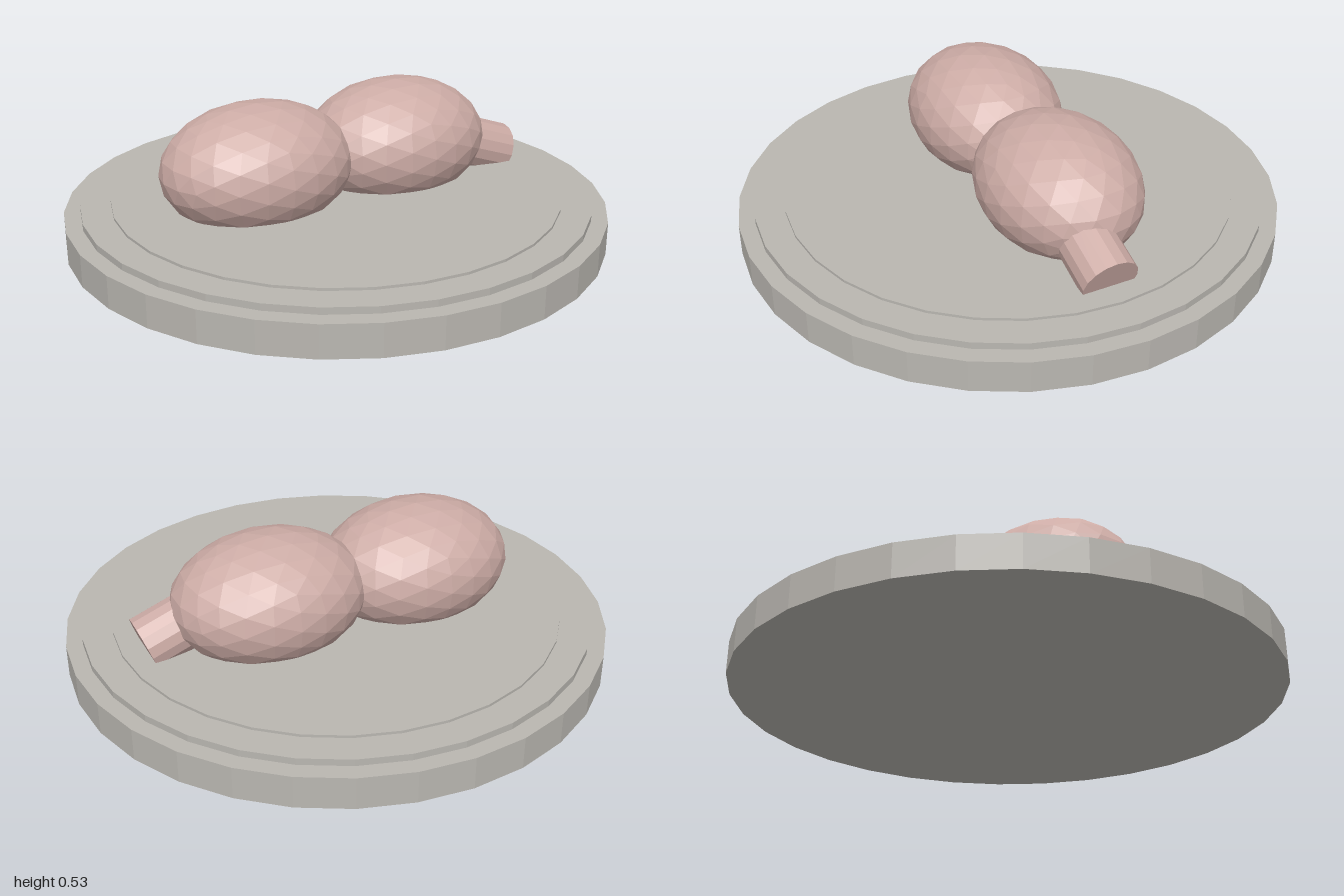
import * as THREE from 'three';

const plateGrey = new THREE.MeshStandardMaterial({ color: 0xbab7b1 });
plateGrey.name = 'plateGrey';
const fleshPink = new THREE.MeshStandardMaterial({ color: 0xcdaca6 });
fleshPink.name = 'fleshPink';

// Faceted look through per-face normals
function flat(geometry) {
  const g = geometry.index ? geometry.toNonIndexed() : geometry;
  g.computeVertexNormals();
  return g;
}

function add(group, name, geometry, material) {
  const mesh = new THREE.Mesh(flat(geometry), material);
  mesh.name = name;
  group.add(mesh);
  return mesh;
}

export function createModel() {
  const model = new THREE.Group();
  model.name = 'platedPiece';

  // Stepped round plate: name, radius, bottom, top
  const tiers = [
    ['plateBase', 1, 0, 0.12],
    ['plateStep', 0.94, 0.12, 0.145],
    ['plateCentre', 0.83, 0.145, 0.155],
  ];
  for (const [name, radius, bottom, top] of tiers) {
    const tier = add(model, name, new THREE.CylinderGeometry(radius, radius, top - bottom, 32), plateGrey);
    tier.position.y = (bottom + top) / 2;
  }

  // Two overlapping faceted ellipsoids resting in the plate
  for (const [name, x] of [['rightLobe', -0.3], ['leftLobe', 0.29]]) {
    const lobe = new THREE.IcosahedronGeometry(1, 3).scale(0.367, 0.236, 0.286);
    add(model, name, lobe, fleshPink).position.set(x, 0.29, -0.05);
  }

  // Short stub sloping down from the end of the left lobe
  const length = 0.24;
  const slope = THREE.MathUtils.degToRad(20);
  const stub = add(model, 'stub', new THREE.CylinderGeometry(0.103, 0.103, length, 16), fleshPink);
  stub.rotation.z = -Math.PI / 2 - slope;
  stub.position.set(
    0.75 - Math.cos(slope) * length / 2,
    0.178 + Math.sin(slope) * length / 2,
    0
  );

  return model;
}
